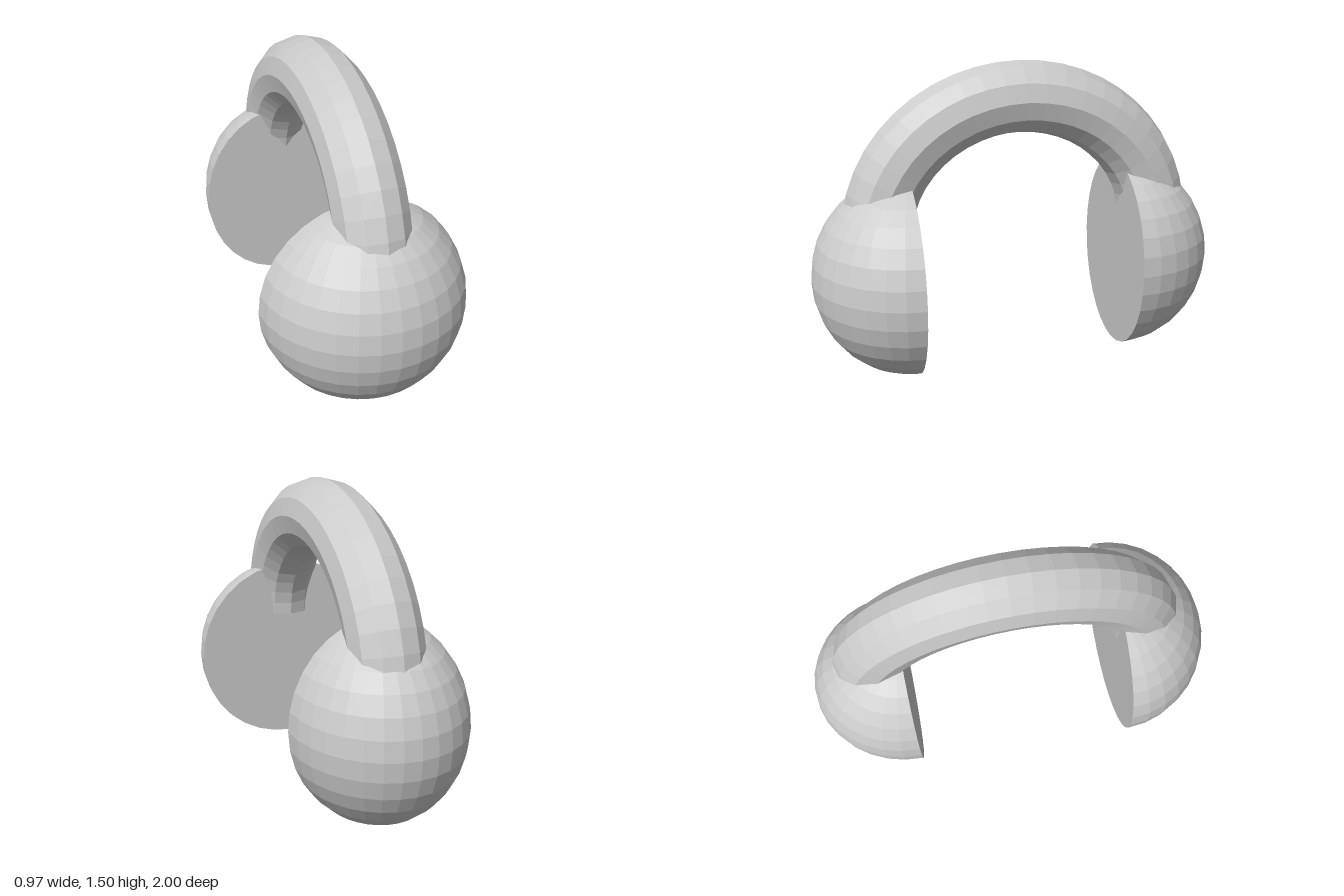
import * as THREE from 'three';

const material = new THREE.MeshStandardMaterial({ color: 0xcccccc, flatShading: true });

function addMesh(parent, geometry, name) {
  const mesh = new THREE.Mesh(geometry, material);
  mesh.name = name;
  parent.add(mesh);
  return mesh;
}

// Half-ellipse running over the head from the front cup to the back cup
class BandCurve extends THREE.Curve {
  getPoint(t, target = new THREE.Vector3()) {
    const a = Math.PI * t;
    return target.set(0, 0.637 * Math.sin(a), 0.69 * Math.cos(a));
  }
}

// Half-ellipsoid shell closed by a flat inner disc, bulging towards +z
function createCup(name, rx, ry, rz) {
  const cup = new THREE.Group();
  cup.name = name;
  const shell = new THREE.SphereGeometry(1, 16, 16, 0, Math.PI).scale(rx, ry, rz);
  addMesh(cup, shell, 'cupShell');
  const disc = new THREE.CircleGeometry(1, 32).rotateY(Math.PI).scale(rx, ry, 1);
  addMesh(cup, disc, 'cupInnerFace');
  return cup;
}

export function createModel() {
  const model = new THREE.Group();
  model.name = 'headphones';

  // Headband with closed ends
  const radius = 0.172;
  const band = new THREE.Group();
  band.name = 'headband';
  band.position.set(0, 0.69, -0.015);
  addMesh(band, new THREE.TubeGeometry(new BandCurve(), 24, radius, 12), 'bandTube');
  for (const side of [1, -1]) {
    const cap = addMesh(band, new THREE.CircleGeometry(radius, 12).rotateX(Math.PI / 2), 'bandEnd');
    cap.position.z = side * 0.69;
  }
  model.add(band);

  // Ear cups, the back one slightly narrower and off-centre
  const front = createCup('frontCup', 0.485, 0.485, 0.472);
  front.position.set(0, 0.487, 0.527);
  model.add(front);

  const back = createCup('backCup', 0.415, 0.483, 0.472);
  back.position.set(-0.023, 0.502, -0.527);
  back.rotation.y = Math.PI;
  model.add(back);

  return model;
}
